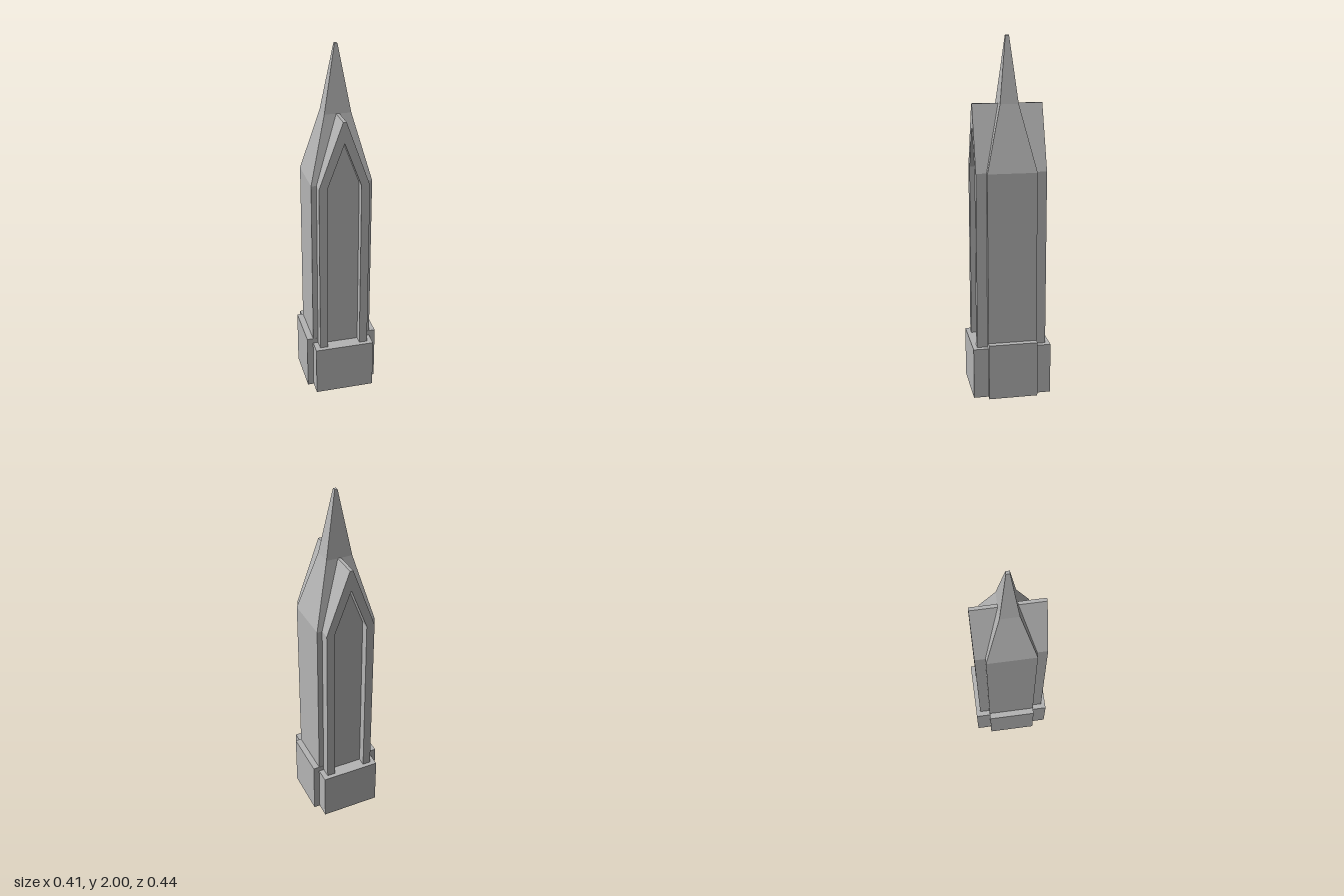
import * as THREE from 'three';

const stone = new THREE.MeshStandardMaterial({ color: 0xb4b4b4 });
stone.name = 'grey stone';

function add(group, geometry, name) {
  const mesh = new THREE.Mesh(geometry, stone);
  mesh.name = name;
  group.add(mesh);
  return mesh;
}

// Box standing on the ground
function block(w, h, d) {
  return new THREE.BoxGeometry(w, h, d).translate(0, h / 2, 0);
}

// Flat-sided solid through rectangular sections [y, halfX, halfZ], bottom to top
function loft(sections) {
  const rings = sections.map(([y, x, z]) => [[-x, y, z], [x, y, z], [x, y, -z], [-x, y, -z]]);
  const pos = [];
  const quad = (a, b, c, d) => pos.push(...a, ...b, ...c, ...a, ...c, ...d);
  for (let i = 0; i < rings.length - 1; i++) {
    for (let k = 0; k < 4; k++) {
      const n = (k + 1) % 4;
      quad(rings[i][k], rings[i][n], rings[i + 1][n], rings[i + 1][k]);
    }
  }
  quad(...rings[rings.length - 1]);
  quad(...[...rings[0]].reverse());
  const geometry = new THREE.BufferGeometry();
  geometry.setAttribute('position', new THREE.Float32BufferAttribute(pos, 3));
  geometry.computeVertexNormals();
  return geometry;
}

function prism(points, z0, z1) {
  const shape = new THREE.Shape(points.map(([x, y]) => new THREE.Vector2(x, y)));
  return new THREE.ExtrudeGeometry(shape, { depth: z1 - z0, bevelEnabled: false }).translate(0, 0, z0);
}

export function createModel() {
  const model = new THREE.Group();
  model.name = 'spire tower';

  // Crossed plinth blocks
  add(model, block(0.337, 0.29, 0.44), 'plinthLong');
  add(model, block(0.406, 0.32, 0.275), 'plinthWide');

  // Shaft, sloping roof and needle spire
  add(model, loft([
    [0.28, 0.168, 0.137],
    [1.28, 0.168, 0.137],
    [1.64, 0.073, 0.051],
    [2.0, 0.008, 0.01],
  ]), 'shaftAndSpire');

  // Gabled body running front to back; its ends are the recessed panels
  const base = 0.28, eave = 1.28, recess = 0.147, face = 0.195;
  const outer = [[0.139, base], [0.139, eave], [0.009, 1.64], [-0.009, 1.64], [-0.139, eave], [-0.139, base]];
  add(model, prism(outer, -recess, recess), 'gableBody');

  // Raised pointed-arch frames on both ends
  const inner = [[-0.093, base], [-0.093, eave], [0, 1.525], [0.093, eave], [0.093, base]];
  const frame = prism([...outer, ...inner], recess, face);
  add(model, frame, 'frontFrame');
  add(model, frame, 'backFrame').rotation.y = Math.PI;

  return model;
}
